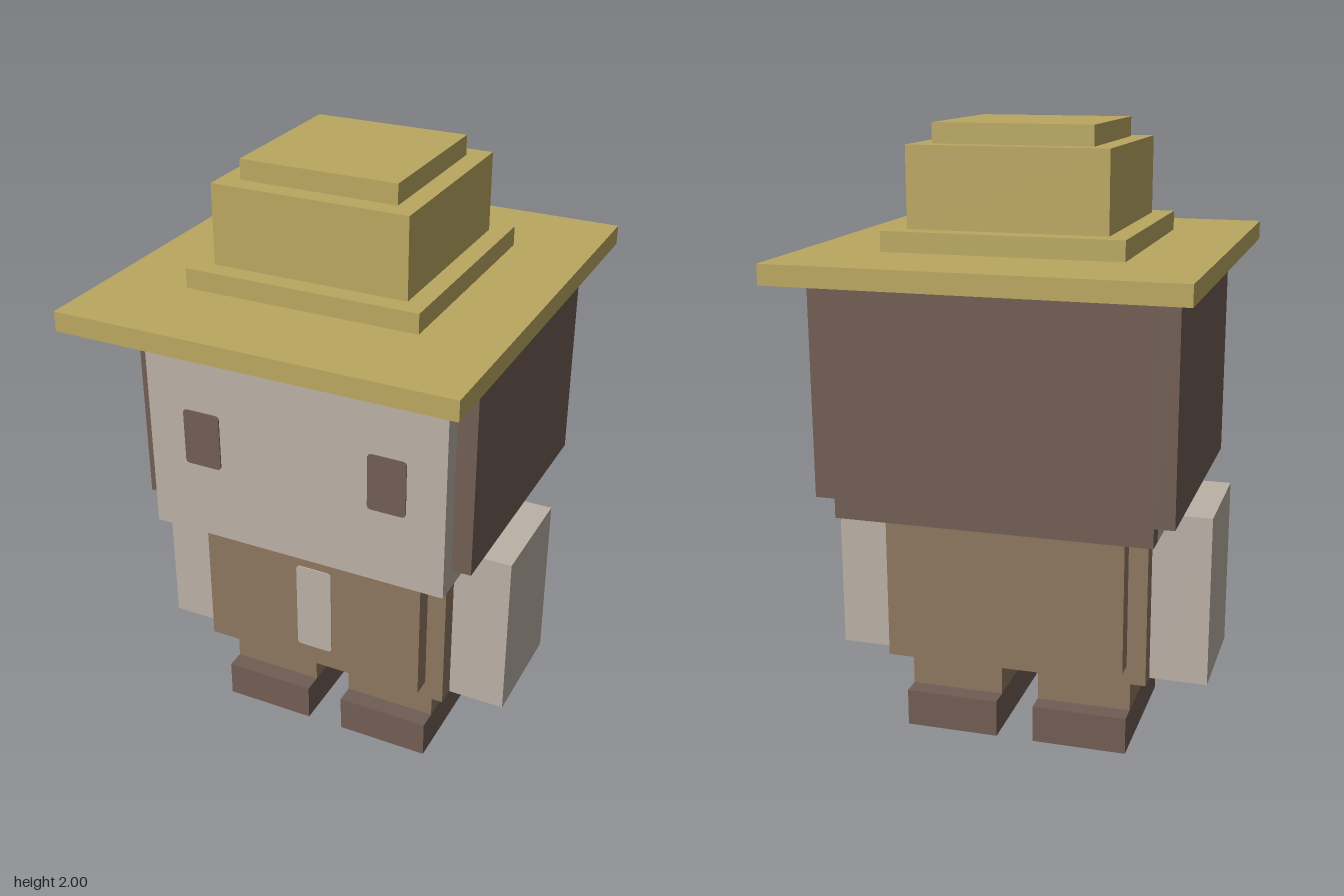
import * as THREE from 'three';

const U = 1 / 16; // all parts sit on a sixteenth grid

function mat(name, color) {
  const m = new THREE.MeshStandardMaterial({ color });
  m.name = name;
  return m;
}

export function createModel() {
  const straw = mat('straw', 0xbaa760);
  const darkBrown = mat('dark brown', 0x705d53);
  const skin = mat('skin', 0xbab0a6);
  const tan = mat('tan cloth', 0x8d775f);

  const model = new THREE.Group();
  model.name = 'strawHatFigure';

  // Box from its min and max corners, in grid units
  function box(name, material, x0, x1, y0, y1, z0, z1, parent = model) {
    const geo = new THREE.BoxGeometry((x1 - x0) * U, (y1 - y0) * U, (z1 - z0) * U);
    const mesh = new THREE.Mesh(geo, material);
    mesh.position.set((x0 + x1) / 2 * U, (y0 + y1) / 2 * U, (z0 + z1) / 2 * U);
    mesh.name = name;
    parent.add(mesh);
  }

  // Thin front-facing plate with slightly rounded corners
  function plate(name, material, cx, cy, w, h, z, parent = model) {
    const a = w / 2, b = h / 2, r = 0.014;
    const s = new THREE.Shape();
    s.moveTo(-a + r, -b);
    s.lineTo(a - r, -b).quadraticCurveTo(a, -b, a, -b + r);
    s.lineTo(a, b - r).quadraticCurveTo(a, b, a - r, b);
    s.lineTo(-a + r, b).quadraticCurveTo(-a, b, -a, b - r);
    s.lineTo(-a, -b + r).quadraticCurveTo(-a, -b, -a + r, -b);
    const geo = new THREE.ExtrudeGeometry(s, { depth: 0.004, bevelEnabled: false, curveSegments: 4 });
    const mesh = new THREE.Mesh(geo, material);
    mesh.position.set(cx, cy, z);
    mesh.name = name;
    parent.add(mesh);
  }

  // Stepped straw hat
  const hat = new THREE.Group();
  hat.name = 'hat';
  model.add(hat);
  box('hatBrim', straw, -10, 10, 25, 26, -11, 11, hat);
  box('hatBand', straw, -6, 6, 26, 27, -6, 6, hat);
  box('hatCrown', straw, -5, 5, 27, 31, -5, 5, hat);
  box('hatTop', straw, -4, 4, 31, 32, -4, 4, hat);

  // Head and hair
  const head = new THREE.Group();
  head.name = 'head';
  model.add(head);
  box('face', skin, -8, 8, 13, 24, -7, 7, head);
  box('hairTop', darkBrown, -8, 8, 24, 25, -7, 7, head);
  box('hairBack', darkBrown, -8, 8, 13, 25, -8, -7, head);

  // Torso with raised vest panels
  box('torso', tan, -7, 7, 4, 12, -4, 4);
  box('neckline', skin, -7, 7, 12, 13, -4, 4);
  box('vestFront', tan, -6, 6, 5, 12, 4, 5);
  box('vestBack', tan, -6, 6, 5, 12, -5, -4);
  plate('shirtPatch', skin, 0, 8.5 * U, 2 * U, 5 * U, 5 * U);

  // Mirrored parts
  for (const [side, s] of [['left', 1], ['right', -1]]) {
    const pair = (name, material, a, b, ...rest) =>
      box(side + name, material, Math.min(a * s, b * s), Math.max(a * s, b * s), ...rest);
    pair('Hair', darkBrown, 8, 9, 14, 25, -8, 6, head);
    pair('Arm', skin, 7, 10, 4, 13, -3, 3);
    pair('Leg', tan, 1, 6, 2, 4, -3, 3);
    pair('Boot', darkBrown, 1, 6, 0, 2, -4, 4);
    plate(side + 'Eye', darkBrown, s * 5 * U, 18.5 * U, 2 * U, 3 * U, 7 * U, head);
  }

  return model;
}
